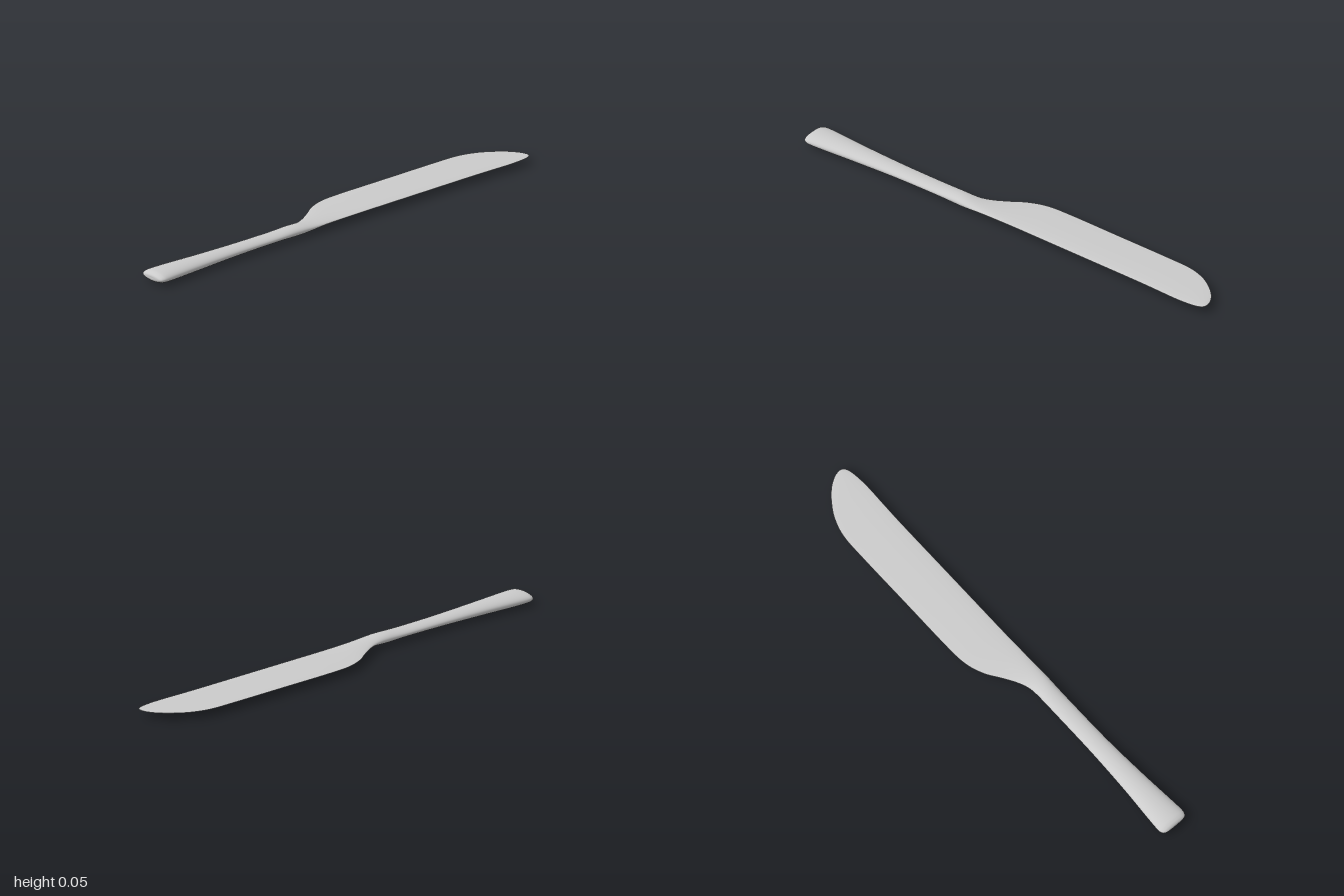
import * as THREE from 'three';

// Cross-sections from blade tip to handle end: z, edge x, spine x, half thickness
const SECTIONS = [
  [-1, 0.054, 0.056, 0.001],
  [-0.998, 0.04, 0.065, 0.002],
  [-0.99, 0.018, 0.076, 0.003],
  [-0.965, -0.018, 0.086, 0.003],
  [-0.92, -0.058, 0.092, 0.003],
  [-0.86, -0.094, 0.094, 0.003],
  [-0.78, -0.117, 0.092, 0.0035],
  [-0.66, -0.121, 0.09, 0.004],
  [-0.4, -0.121, 0.09, 0.0045],
  [-0.17, -0.121, 0.09, 0.005],
  [-0.06, -0.114, 0.09, 0.005],
  [0.02, -0.086, 0.091, 0.006],
  [0.08, -0.047, 0.092, 0.008],
  [0.135, -0.014, 0.093, 0.011],
  [0.18, 0.005, 0.094, 0.015],
  [0.22, 0.011, 0.094, 0.019],
  [0.265, 0.012, 0.093, 0.02],
  [0.36, 0.012, 0.093, 0.017],
  [0.55, 0.011, 0.095, 0.019],
  [0.75, 0.004, 0.105, 0.023],
  [0.9, -0.006, 0.116, 0.025],
  [0.965, -0.009, 0.12, 0.0235],
  [0.987, -0.005, 0.116, 0.019],
  [0.997, 0.006, 0.106, 0.012],
  [1, 0.025, 0.087, 0.006],
  [1, 0.055, 0.057, 0.0005],
];

// Smooth closed surface lofted through the sections
function loftGeometry(rows, steps, sides) {
  const spline = (pick) =>
    new THREE.CatmullRomCurve3(rows.map((r) => new THREE.Vector3(...pick(r))), false, 'catmullrom', 0.5);
  const outline = spline(([z, x0, x1]) => [x0, x1, z]);
  const thickness = spline(([, , , h]) => [h, 0, 0]);
  const positions = [];
  const index = [];
  for (let i = 0; i <= steps; i++) {
    const { x: x0, y: x1, z } = outline.getPoint(i / steps);
    const h = thickness.getPoint(i / steps).x;
    // Wedge-shaped blade turns into an oval handle, and the centre drops slightly
    const wedge = 0.45 * (1 - THREE.MathUtils.smoothstep(z, 0.05, 0.27));
    const yc = 0.028 - 0.003 * THREE.MathUtils.smoothstep(z, -0.1, 0.9);
    for (let j = 0; j < sides; j++) {
      const a = (j / sides) * Math.PI * 2;
      const c = Math.cos(a);
      positions.push((x0 + x1) / 2 + ((x1 - x0) / 2) * c, yc + h * Math.sin(a) * (1 + wedge * c), z);
      if (i < steps) {
        const p = i * sides + j;
        const q = i * sides + ((j + 1) % sides);
        index.push(p, q, p + sides, q, q + sides, p + sides);
      }
    }
  }
  // Caps over the tiny end rings
  const last = steps * sides;
  for (let j = 1; j < sides - 1; j++) {
    index.push(0, j + 1, j, last, last + j, last + j + 1);
  }
  const geometry = new THREE.BufferGeometry();
  geometry.setAttribute('position', new THREE.Float32BufferAttribute(positions, 3));
  geometry.setIndex(index);
  geometry.computeVertexNormals();
  return geometry;
}

export function createModel() {
  const group = new THREE.Group();
  group.name = 'tableKnife';
  // Blade, neck and handle form one continuous piece
  const body = new THREE.Mesh(
    loftGeometry(SECTIONS, (SECTIONS.length - 1) * 6, 40),
    new THREE.MeshStandardMaterial({ color: 0xcccccc })
  );
  body.name = 'bladeAndHandle';
  group.add(body);
  return group;
}
